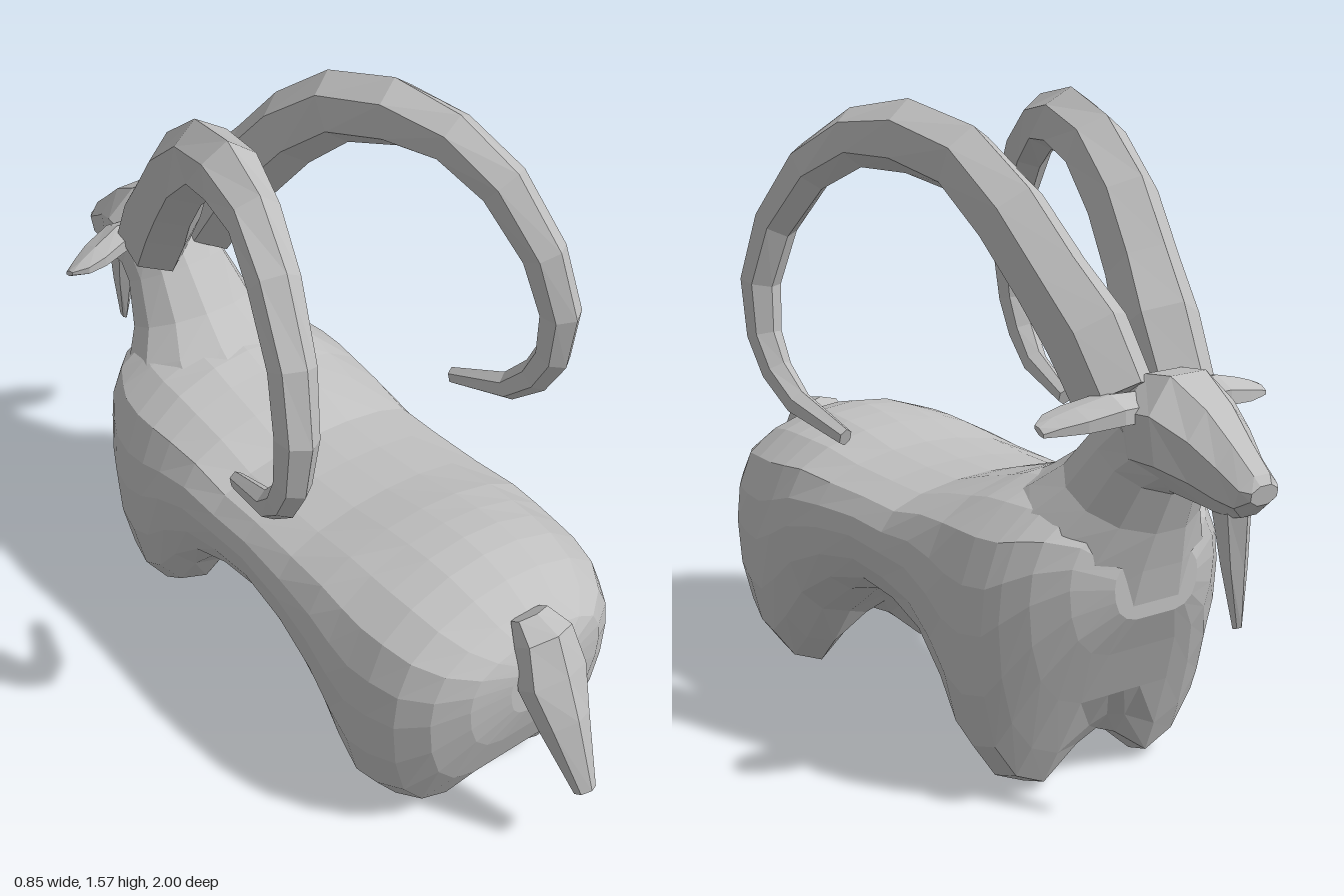
import * as THREE from 'three';

const hide = new THREE.MeshStandardMaterial({ color: 0xc0c0c0, flatShading: true });
hide.name = 'grey';

const V = (x, y, z) => new THREE.Vector3(x, y, z);

// Skin a row of closed rings, cap both ends, and keep the faces outward.
function loft(name, rings) {
  const n = rings[0].length, pos = [], idx = [];
  rings.forEach(r => r.forEach(p => pos.push(p.x, p.y, p.z)));
  for (let i = 0; i < rings.length - 1; i++) {
    for (let j = 0; j < n; j++) {
      const a = i * n + j, b = i * n + (j + 1) % n;
      idx.push(a, b, a + n, b, b + n, a + n);
    }
  }
  [0, rings.length - 1].forEach(i => {
    const c = V(0, 0, 0);
    rings[i].forEach(p => c.addScaledVector(p, 1 / n));
    const k = pos.length / 3;
    pos.push(c.x, c.y, c.z);
    for (let j = 0; j < n; j++) {
      const a = i * n + j, b = i * n + (j + 1) % n;
      if (i === 0) idx.push(k, b, a); else idx.push(k, a, b);
    }
  });
  // A negative enclosed volume means the corners run the wrong way
  let vol = 0;
  const at = i => V(pos[3 * i], pos[3 * i + 1], pos[3 * i + 2]);
  for (let i = 0; i < idx.length; i += 3) vol += at(idx[i]).dot(at(idx[i + 1]).cross(at(idx[i + 2])));
  if (vol < 0) idx.reverse();
  const g = new THREE.BufferGeometry();
  g.setAttribute('position', new THREE.Float32BufferAttribute(pos, 3));
  g.setIndex(idx);
  g.computeVertexNormals();
  const mesh = new THREE.Mesh(g, hide);
  mesh.name = name;
  return mesh;
}

// Ellipse spanned by two half-axis vectors.
function ring(c, u, v, n) {
  return Array.from({ length: n }, (_, i) => {
    const a = (i + 0.5) / n * Math.PI * 2;
    return c.clone().addScaledVector(u, Math.cos(a)).addScaledVector(v, Math.sin(a));
  });
}

// Ring through an upper/back and a lower/front point on the midline.
function midRing([z1, y1, z2, y2, hw], n) {
  const a = V(0, y1, z1), b = V(0, y2, z2);
  return ring(a.clone().add(b).multiplyScalar(0.5), V(hw, 0, 0), a.clone().sub(b).multiplyScalar(0.53), n);
}

// Torso slice: rounded back, two leg lobes below with a groove between.
function torsoRing([z, top, bottom, w, groove]) {
  const h = top - bottom, mid = groove ?? bottom;
  const half = [[0.3, 0.985], [0.62, 0.93], [0.86, 0.84], [0.97, 0.7], [1, 0.55], [0.97, 0.35],
    [0.88, 0.17], [0.7, 0.05], [0.46, 0]].map(([x, y]) => [x * w, bottom + y * h]);
  half.push([0.17 * w, bottom + (mid - bottom) * 0.75]);
  const right = half.map(([x, y]) => V(x, y, z));
  const left = half.map(([x, y]) => V(-x, y, z)).reverse();
  return [V(0, top, z), ...right, V(0, mid, z), ...left];
}

// Swept horn: each row is x, y, z, radius.
function horn(s) {
  const path = [
    [0.085, 0.97, -0.61, 0.095], [0.1, 1.1, -0.53, 0.1], [0.13, 1.21, -0.44, 0.09], [0.16, 1.34, -0.33, 0.088],
    [0.19, 1.45, -0.19, 0.082], [0.235, 1.49, -0.03, 0.08], [0.28, 1.475, 0.12, 0.066],
    [0.325, 1.395, 0.25, 0.062], [0.362, 1.25, 0.36, 0.056], [0.385, 1.1, 0.405, 0.052],
    [0.387, 0.97, 0.39, 0.045], [0.38, 0.885, 0.345, 0.04], [0.365, 0.815, 0.27, 0.034],
    [0.335, 0.76, 0.1, 0.021]];
  const pts = path.map(p => V(p[0] * s, p[1], p[2]));
  return loft(s > 0 ? 'leftHorn' : 'rightHorn', pts.map((p, i) => {
    const t = pts[Math.min(i + 1, pts.length - 1)].clone().sub(pts[Math.max(i - 1, 0)]).normalize();
    const side = V(1, 0, 0).addScaledVector(t, -t.x).normalize();
    const up = t.clone().cross(side), r = path[i][3];
    return ring(p, side.multiplyScalar(r * 0.92), up.multiplyScalar(r * 1.08), 6);
  }));
}

// Flat leaf-shaped ear: each row is x, y, z, half thickness, half width.
function ear(s) {
  const rows = [[0.08, 0.965, -0.68, 0.035, 0.045], [0.15, 0.968, -0.675, 0.034, 0.06],
    [0.23, 0.955, -0.655, 0.026, 0.057], [0.28, 0.947, -0.643, 0.018, 0.042], [0.317, 0.94, -0.645, 0.008, 0.018]];
  return loft(s > 0 ? 'leftEar' : 'rightEar',
    rows.map(([x, y, z, t, w]) => ring(V(x * s, y, z), V(0, 0.008, w), V(0, t, 0), 6)));
}

export function createModel() {
  const model = new THREE.Group();
  model.name = 'goat';

  // Torso with stub legs: z, top, bottom, half width, groove height
  model.add(loft('torso', [
    [0.825, 0.56, 0.4, 0.1], [0.8, 0.6, 0.31, 0.2], [0.75, 0.637, 0.18, 0.275], [0.68, 0.675, 0.06, 0.325, 0.13],
    [0.6, 0.695, 0.015, 0.345, 0.12], [0.53, 0.7, 0.003, 0.352, 0.12], [0.46, 0.695, 0.08, 0.352, 0.16],
    [0.38, 0.685, 0.19, 0.348, 0.22], [0.25, 0.66, 0.29, 0.338, 0.3], [0.1, 0.65, 0.34, 0.33, 0.325],
    [-0.03, 0.65, 0.325, 0.33, 0.32], [-0.15, 0.69, 0.27, 0.335, 0.28], [-0.25, 0.72, 0.16, 0.342, 0.21],
    [-0.32, 0.745, 0.05, 0.348, 0.14], [-0.39, 0.755, 0.002, 0.348, 0.12], [-0.46, 0.755, 0.025, 0.335, 0.12],
    [-0.5, 0.75, 0.11, 0.315, 0.17], [-0.56, 0.735, 0.25, 0.275], [-0.62, 0.7, 0.38, 0.21], [-0.665, 0.62, 0.47, 0.12],
  ].map(torsoRing)));

  // Neck rising from the shoulders: back z, y, front z, y, half width
  model.add(loft('neck', [
    [-0.24, 0.69, -0.65, 0.46, 0.27], [-0.36, 0.755, -0.68, 0.59, 0.22], [-0.44, 0.81, -0.705, 0.68, 0.165],
    [-0.53, 0.91, -0.745, 0.78, 0.135], [-0.6, 0.99, -0.8, 0.81, 0.125],
  ].map(r => midRing(r, 12))));

  // Head tapering to the muzzle: top z, y, jaw z, y, half width
  model.add(loft('head', [
    [-0.58, 0.97, -0.65, 0.82, 0.1], [-0.67, 1.035, -0.72, 0.79, 0.135], [-0.75, 1.045, -0.8, 0.785, 0.13],
    [-0.85, 0.99, -0.86, 0.775, 0.095], [-0.92, 0.93, -0.91, 0.765, 0.07], [-0.985, 0.875, -0.95, 0.775, 0.058],
    [-0.998, 0.855, -0.99, 0.81, 0.04],
  ].map(r => midRing(r, 8))));

  // Beard
  model.add(loft('beard', [
    [-0.845, 0.8, -0.945, 0.79, 0.04], [-0.88, 0.66, -0.942, 0.655, 0.028], [-0.915, 0.515, -0.94, 0.525, 0.008],
  ].map(r => midRing(r, 6))));

  // Tail hanging behind the rump: x, y, z, half width, half depth
  model.add(loft('tail', [
    [-0.01, 0.645, 0.77, 0.05, 0.03], [-0.01, 0.615, 0.82, 0.075, 0.055], [-0.005, 0.51, 0.855, 0.092, 0.06],
    [0, 0.4, 0.9, 0.065, 0.055], [0.015, 0.22, 0.975, 0.027, 0.026],
  ].map(([x, y, z, w, d]) => ring(V(x, y, z), V(w, 0, 0), V(0, d * 0.6, d * 0.85), 6))));

  for (const s of [1, -1]) model.add(horn(s), ear(s));
  return model;
}
